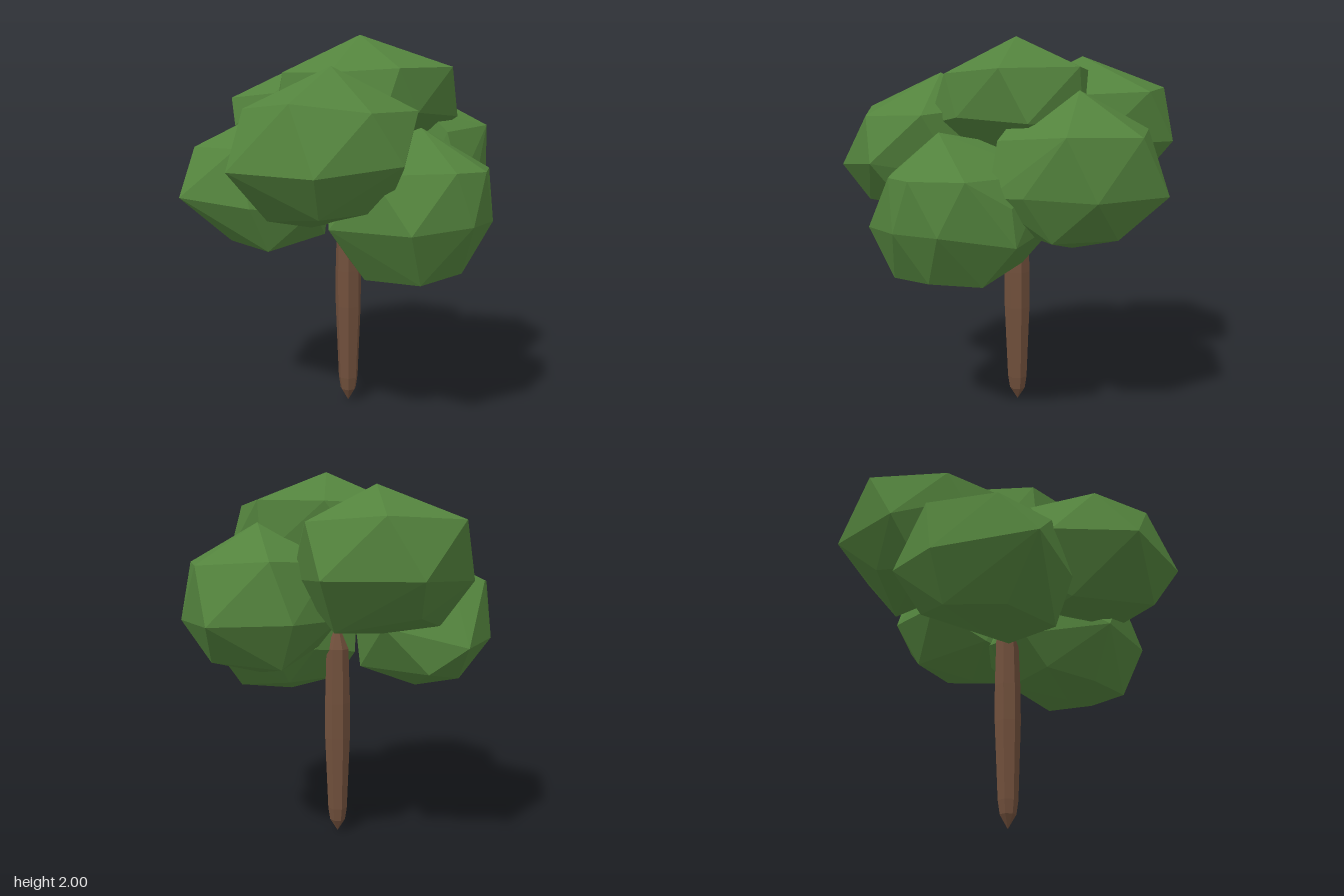
import * as THREE from 'three';
import { ConvexGeometry } from 'three/addons/geometries/ConvexGeometry.js';

export function createModel() {
  const tree = new THREE.Group();
  tree.name = 'tree';

  const leafGreen = new THREE.MeshStandardMaterial({ color: 0x53833d, flatShading: true });
  leafGreen.name = 'leafGreen';
  const barkBrown = new THREE.MeshStandardMaterial({ color: 0x71503c, flatShading: true });
  barkBrown.name = 'barkBrown';

  // Trunk: faceted pole tapering to a point at the ground
  const profile = [[0, 0], [0.043, 0.07], [0.054, 0.14], [0.071, 0.55], [0.071, 0.75], [0.062, 1.05], [0, 1.2]];
  const trunk = new THREE.Mesh(
    new THREE.LatheGeometry(profile.map(([r, y]) => new THREE.Vector2(r, y)), 7),
    barkBrown
  );
  trunk.name = 'trunk';
  trunk.position.set(0.035, 0, 0.01);
  tree.add(trunk);

  // Leaf clump: faceted boulder shape wrapped round its corners (crown, shoulder, belt, underside)
  function addClump(name, corners) {
    const points = corners.map((c) => new THREE.Vector3(...c));
    const clump = new THREE.Mesh(new ConvexGeometry(points), leafGreen);
    clump.name = name;
    tree.add(clump);
  }

  addClump('topClump', [
    [0.08, 2, -0.03],
    [0.47, 1.83, -0.32], [0.48, 1.81, 0.06], [0.28, 1.79, 0.33], [-0.04, 1.8, 0.38],
    [-0.35, 1.82, 0.1], [-0.21, 1.83, -0.27], [0.08, 1.84, -0.47],
    [0.5, 1.6, -0.05], [0.4, 1.58, -0.44], [0.05, 1.55, -0.47], [0.49, 1.56, 0.18],
    [-0.05, 1.52, 0.42], [-0.22, 1.52, 0.32], [-0.33, 1.55, -0.1],
    [0.25, 1.35, 0.15], [0.1, 1.32, -0.2],
  ]);

  addClump('upperRightClump', [
    [-0.38, 1.91, -0.08],
    [-0.86, 1.73, 0.04], [-0.76, 1.74, -0.36], [-0.4, 1.72, -0.53],
    [0, 1.7, -0.25], [-0.19, 1.7, 0.33], [-0.57, 1.68, 0.36],
    [-0.89, 1.46, -0.25], [-0.79, 1.45, 0.18], [-0.56, 1.46, -0.57], [-0.49, 1.53, 0.39],
    [-0.12, 1.45, -0.4], [-0.72, 1.28, -0.1], [-0.6, 1.22, 0.15],
    [-0.4, 1.18, -0.05], [-0.45, 1.21, -0.4], [-0.2, 1.25, 0.3],
  ]);

  addClump('frontLeftClump', [
    [0.29, 1.82, 0.33],
    [0.48, 1.64, 0.71], [0.11, 1.62, 0.71], [-0.09, 1.62, 0.42],
    [0.7, 1.6, 0.43], [0.62, 1.61, 0.07], [0.12, 1.65, 0.05],
    [0.23, 1.34, 0.88], [0.67, 1.33, 0.72], [0.77, 1.37, 0.3],
    [-0.12, 1.36, 0.63], [-0.1, 1.35, 0.25], [0.45, 1.3, 0],
    [0.57, 1.14, 0.62], [0.25, 1.05, 0.42], [0.06, 1.07, 0.55], [0.1, 1.1, 0.3], [0.6, 1.15, 0.25],
  ]);

  addClump('frontRightClump', [
    [-0.24, 1.59, 0.4], [-0.56, 1.53, 0.24],
    [-0.46, 1.42, 0.66], [-0.11, 1.42, 0.62], [-0.69, 1.44, 0.37], [-0.2, 1.45, 0.05],
    [-0.34, 1.17, 0.82], [-0.76, 1.12, 0.19], [-0.69, 1.15, 0.43],
    [0.01, 1.13, 0.62], [0.11, 1.1, 0.3], [0.05, 1.2, 0.15], [-0.35, 1.2, 0],
    [-0.56, 0.93, 0.34], [-0.32, 0.92, 0.53], [-0.28, 0.86, 0.3], [-0.01, 0.9, 0.5],
    [-0.56, 0.97, 0.12], [-0.03, 0.95, 0.12],
  ]);

  addClump('leftClump', [
    [0.57, 1.53, 0], [0.32, 1.48, -0.08],
    [0.84, 1.33, 0.04], [0.86, 1.33, -0.14], [0.7, 1.33, -0.35], [0.6, 1.32, 0.34],
    [0.1, 1.3, 0.2], [0.2, 1.33, -0.38],
    [0.88, 1.08, -0.04], [0.8, 1.06, 0.28], [0.8, 1.08, -0.27], [0.5, 1.2, -0.44],
    [0.41, 1.06, 0.44], [0.05, 1.02, 0.15], [0.03, 1.06, -0.15], [0.12, 1.08, -0.37], [0.5, 1.02, -0.47],
    [0.74, 0.81, 0.16], [0.74, 0.83, -0.12], [0.45, 0.8, 0.25], [0.2, 0.86, 0.15],
    [0.46, 0.77, 0], [0.55, 0.81, -0.29], [0.2, 0.86, -0.2],
  ]);

  addClump('backClump', [
    [0.08, 1.73, -0.47], [0.34, 1.6, -0.29],
    [0.06, 1.52, -0.84], [0.4, 1.53, -0.68], [-0.26, 1.54, -0.63], [0.46, 1.5, -0.3], [-0.24, 1.53, -0.25],
    [-0.1, 1.24, -0.88], [0.31, 1.24, -0.79], [0.54, 1.24, -0.32], [0.49, 1.25, -0.5],
    [-0.36, 1.25, -0.57], [-0.3, 1.25, -0.25],
    [0.1, 1.04, -0.74], [0.35, 1.03, -0.55], [0.1, 0.96, -0.45],
    [-0.22, 1.02, -0.54], [0.3, 1.05, -0.2], [0, 1.08, -0.15],
  ]);

  return tree;
}
